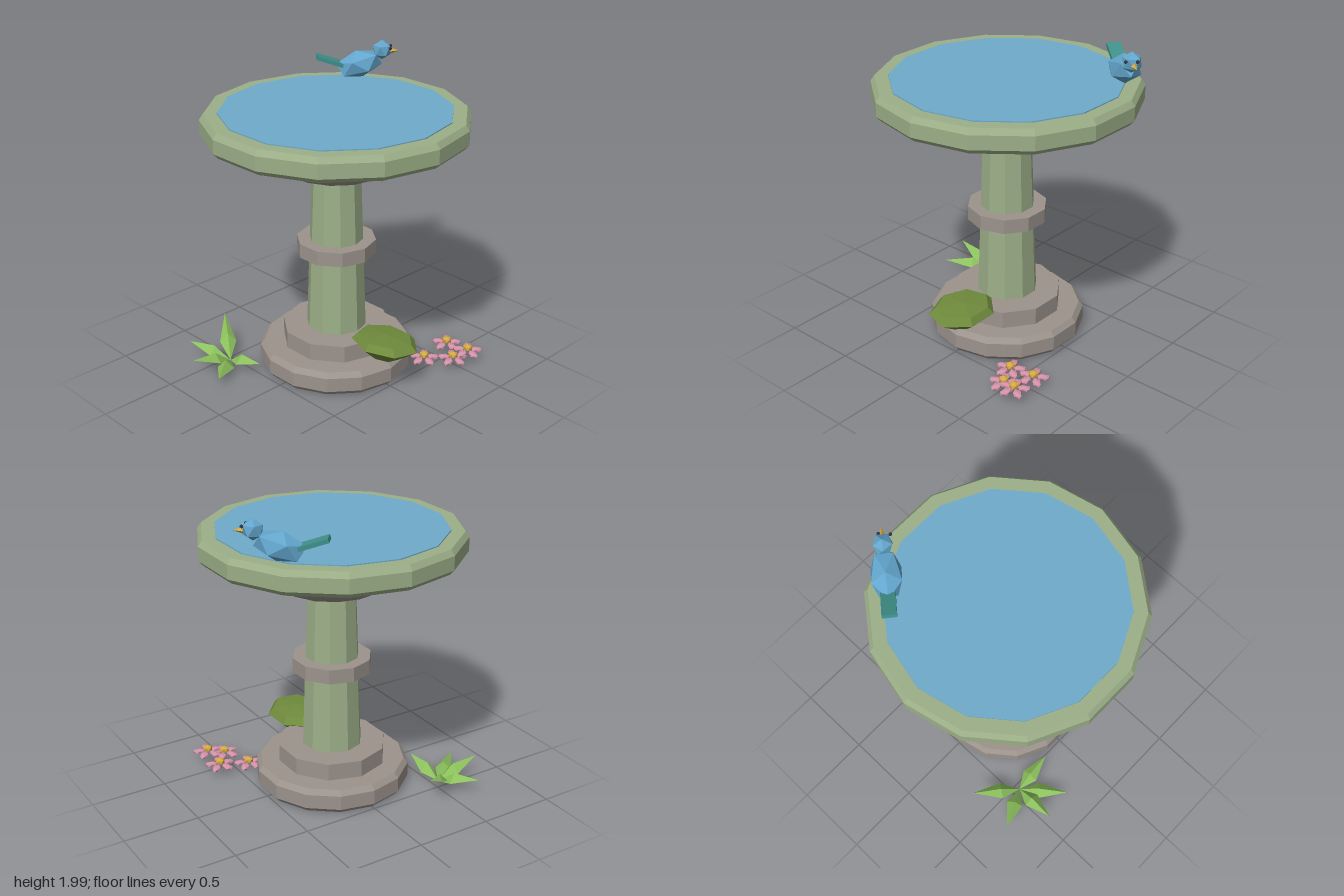
import * as THREE from 'three';

const mat = (name, color, opts = {}) => {
  const m = new THREE.MeshStandardMaterial({ color, ...opts });
  m.name = name;
  return m;
};

export function createModel() {
  const sage = mat('sage stone', 0x9caf88);
  const stone = mat('grey stone', 0x9c938c);
  const water = mat('water blue', 0x6eabcb);
  const blue = mat('feather blue', 0x62a5cc);
  const teal = mat('tail teal', 0x3f908a);
  const gold = mat('gold', 0xd4a843);
  const pink = mat('petal pink', 0xd491a8);
  const leaf = mat('leaf green', 0x8cc15c, { side: THREE.DoubleSide });
  const olive = mat('moss olive', 0x6f8a3c);
  const dark = mat('eye dark', 0x33333d);

  const root = new THREE.Group();
  root.name = 'birdBath';

  // Faceted mesh: split the faces so each one gets its own normal
  const add = (parent, name, geometry, material, pos = [0, 0, 0], rot = [0, 0, 0]) => {
    const g = geometry.index ? geometry.toNonIndexed() : geometry;
    g.computeVertexNormals();
    const mesh = new THREE.Mesh(g, material);
    mesh.name = name;
    mesh.position.set(...pos);
    mesh.rotation.set(...rot);
    parent.add(mesh);
    return mesh;
  };
  const group = (parent, name, pos = [0, 0, 0]) => {
    const g = new THREE.Group();
    g.name = name;
    g.position.set(...pos);
    parent.add(g);
    return g;
  };
  const lathe = (points, sides) =>
    new THREE.LatheGeometry(points.map(([r, y]) => new THREE.Vector2(r, y)), sides);
  // Icosahedron with a vertex pointing up
  const gem = (sx, sy, sz) =>
    new THREE.IcosahedronGeometry(1, 0).rotateZ(0.5536).scale(sx, sy, sz);

  // Stonework, all turned around one axis
  const bath = group(root, 'bath', [0.006, 0, 0]);
  const turned = [
    ['base', stone, 14, [[0, 0.013], [0.475, 0.013], [0.503, 0.045], [0.503, 0.14], [0.475, 0.173], [0, 0.173]]],
    ['plinth', stone, 10, [[0, 0.17], [0.354, 0.17], [0.354, 0.286], [0, 0.286]]],
    ['pillar', sage, 10, [[0.196, 0.28], [0.156, 1.39]]],
    ['collar', stone, 10, [[0, 0.803], [0.257, 0.803], [0.257, 0.898], [0, 0.898]]],
    ['bowl', stone, 14, [[0, 1.376], [0.315, 1.376], [0.735, 1.6]]],
    ['rim', sage, 14, [[0.7, 1.593], [0.812, 1.593], [0.84, 1.624], [0.84, 1.714], [0.815, 1.75], [0.7, 1.75]]],
    ['water', water, 14, [[0.73, 1.735], [0.73, 1.757], [0, 1.757]]],
  ];
  for (const [name, material, sides, points] of turned) add(bath, name, lathe(points, sides), material);

  // Bird, facing its local +x
  const bird = group(root, 'bird', [0.595, 1.842, -0.39]);
  bird.rotation.y = -0.69;
  add(bird, 'birdBody', gem(0.165, 0.092, 0.105), blue, [0, 0, 0], [0, 0, 0.25]);
  add(bird, 'birdHead', gem(0.066, 0.066, 0.066), blue, [0.152, 0.092, 0]);
  add(bird, 'beak', new THREE.ConeGeometry(0.02, 0.065, 4).rotateZ(-Math.PI / 2), gold, [0.235, 0.083, 0]);
  add(bird, 'tail', new THREE.BoxGeometry(0.19, 0.026, 0.088), teal, [-0.19, 0.025, 0], [0, 0, -0.33]);
  add(bird, 'leftEye', gem(0.012, 0.012, 0.012), dark, [0.2, 0.112, 0.05]);
  add(bird, 'rightEye', gem(0.012, 0.012, 0.012), dark, [0.211, 0.112, -0.018]);

  // Moss lump leaning on the plinth
  const lump = lathe([[0, 0.205], [0.085, 0.21], [0.19, 0.3], [0.155, 0.342], [0, 0.357]], 7);
  lump.translate(0, -0.285, 0).rotateY(0.25).scale(1, 1, 1.25);
  add(root, 'mossLump', lump, olive, [0.01, 0.285, 0.44], [0, 0, -0.06]);

  // Flowers with five petals around a gold heart
  const flowers = [
    [0.61, 0.085, 0.632, 0.1], [0.61, 0.07, 0.45, 0.1],
    [0.405, 0.03, 0.43, 0.09], [0.5, 0.06, 0.6, 0.24],
  ];
  for (const [x, y, z, turn] of flowers) {
    const flower = group(root, 'flower', [x, y, z]);
    flower.rotation.y = turn;
    add(flower, 'flowerHeart', gem(0.034, 0.026, 0.034), gold, [0, 0.016, 0]);
    for (let i = 0; i < 5; i++) {
      const petal = gem(0.044, 0.016, 0.029).rotateZ(-0.12).translate(0.062, -0.006, 0);
      add(flower, 'petal', petal, pink, [0, 0, 0], [0, 0.6 + (i * Math.PI * 2) / 5, 0]);
    }
  }

  // Spiky plant: folded blades from one root to each tip
  const plant = group(root, 'spikyPlant');
  const start = new THREE.Vector3(-0.54, 0.02, -0.45);
  const tips = [
    [-0.67, 0.11, -0.71], [-0.36, 0.2, -0.72], [-0.8, 0.07, -0.25],
    [-0.835, 0.13, -0.465], [-0.52, 0.1, -0.17],
  ];
  for (const t of tips) {
    const tip = new THREE.Vector3(...t);
    const dir = tip.clone().sub(start);
    const side = new THREE.Vector3(-dir.z, 0, dir.x).normalize().multiplyScalar(0.055);
    const mid = start.clone().lerp(tip, 0.4);
    const ridge = mid.clone().setY(mid.y + 0.055);
    const a = mid.clone().add(side);
    const b = mid.clone().sub(side);
    const faces = [start, ridge, a, start, b, ridge, a, ridge, tip, ridge, b, tip, start, a, b, a, tip, b];
    add(plant, 'blade', new THREE.BufferGeometry().setFromPoints(faces), leaf);
  }

  return root;
}
